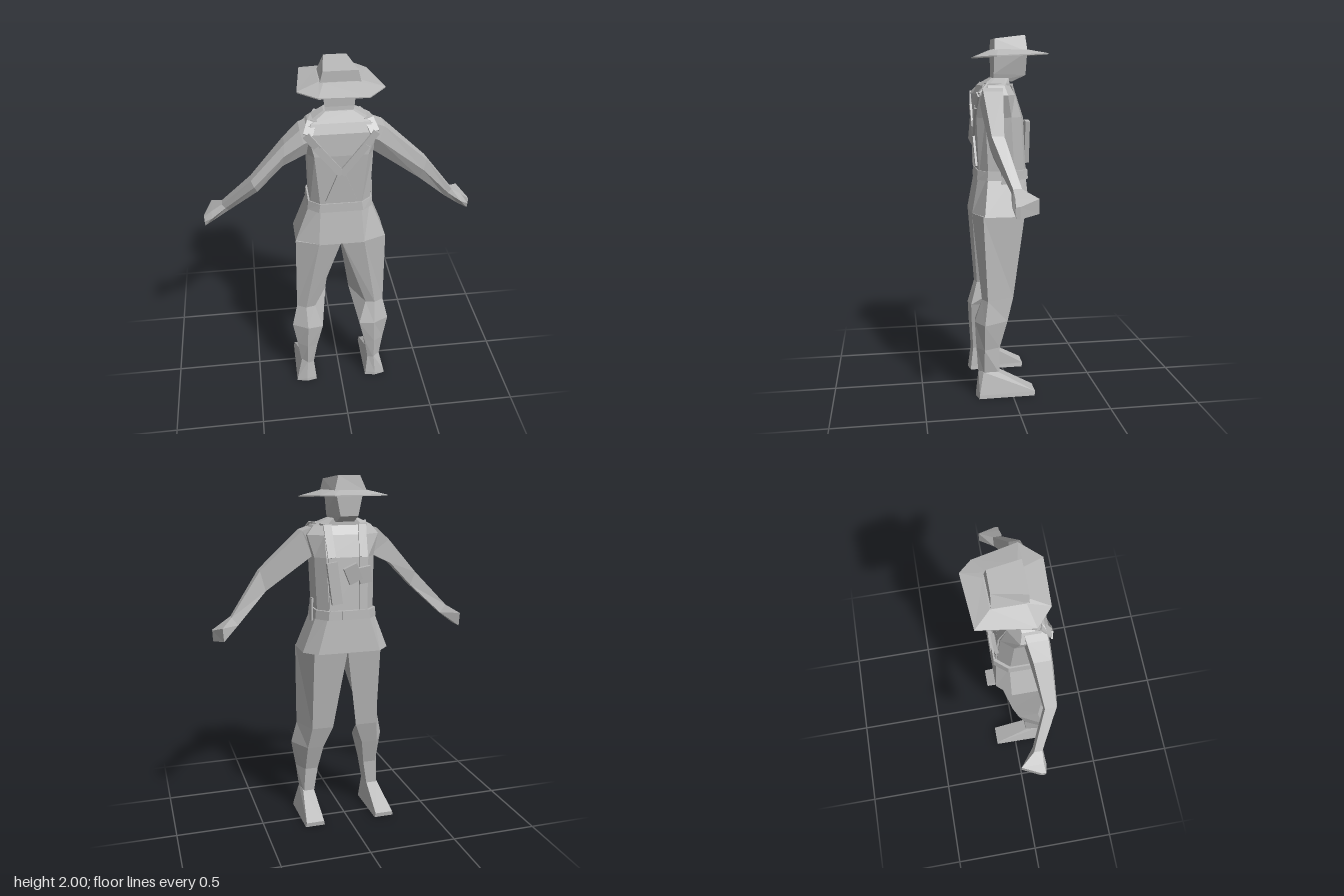
import * as THREE from 'three';

const grey = new THREE.MeshStandardMaterial({ color: 0xb8b8b8, flatShading: true });
grey.name = 'plain grey';

// Skin a list of equal-sized point rings, cap both ends and face it outwards
function loft(name, rings) {
  const tris = [];
  const n = rings[0].length;
  for (let r = 0; r < rings.length - 1; r++) {
    for (let i = 0; i < n; i++) {
      const j = (i + 1) % n;
      const a = rings[r][i], b = rings[r][j], c = rings[r + 1][j], d = rings[r + 1][i];
      tris.push([a, b, c], [a, c, d]);
    }
  }
  const end = rings[rings.length - 1];
  for (let i = 1; i < n - 1; i++) {
    tris.push([rings[0][0], rings[0][i + 1], rings[0][i]], [end[0], end[i], end[i + 1]]);
  }
  const v = (p) => new THREE.Vector3(...p);
  let volume = 0;
  for (const [a, b, c] of tris) volume += v(a).dot(v(b).cross(v(c)));
  if (volume < 0) tris.forEach((t) => t.reverse());
  const geo = new THREE.BufferGeometry();
  geo.setAttribute('position', new THREE.Float32BufferAttribute(tris.flat(2), 3));
  geo.computeVertexNormals();
  const mesh = new THREE.Mesh(geo, grey);
  mesh.name = name;
  return mesh;
}

// Eight-sided body ring: back half-width and z, side half-width, front half-width and z
function bodyRing([y, wb, zb, ws, wf, zf]) {
  const z1 = zb - (zb - zf) * 0.18, z2 = zf + (zb - zf) * 0.25;
  return [[-wb, y, zb], [wb, y, zb], [ws, y, z1], [ws, y, z2],
    [wf, y, zf], [-wf, y, zf], [-ws, y, z2], [-ws, y, z1]];
}

// Five-cornered arm ring: top point, bottom point, front z, back z
const armRing = (s) => ([xt, yt, xb, yb, zf, zb]) => {
  const t = zb - zf;
  return [[s * xt, yt, zf], [s * xt, yt, zb - t * 0.12],
    [s * (xt + xb) / 2, (yt + yb) / 2, zb], [s * xb, yb, zb - t * 0.3], [s * xb, yb, zf]];
};

// Five-cornered leg ring: back inner/outer x, front inner/outer x, back z, outer-back z, front z
const legRing = (s) => ([y, bi, bo, fi, fo, zb, zo, zf, yf = y]) =>
  [[s * bi, y, zb - 0.012], [s * (bi + bo) / 2, y, zb], [s * bo, y, zo],
    [s * fo, yf, zf], [s * fi, yf, zf]];

// Flat plate laid from a to b with its face along a given normal
function plate(name, a, b, width, normal, thick = 0.009) {
  const A = new THREE.Vector3(...a), B = new THREE.Vector3(...b);
  const y = B.clone().sub(A);
  const mesh = new THREE.Mesh(new THREE.BoxGeometry(width, y.length(), thick), grey);
  y.normalize();
  const x = y.clone().cross(new THREE.Vector3(...normal)).normalize();
  mesh.quaternion.setFromRotationMatrix(new THREE.Matrix4().makeBasis(x, y, x.clone().cross(y)));
  mesh.position.copy(A.add(B).multiplyScalar(0.5));
  mesh.name = name;
  return mesh;
}

export function createModel() {
  const model = new THREE.Group();
  model.name = 'hatted figure';

  // Trunk
  model.add(loft('hips', [
    [1.03, 0.125, 0.21, 0.25, 0.18, -0.105],
    [1.25, 0.11, 0.17, 0.165, 0.115, -0.09],
  ].map(bodyRing)));
  model.add(loft('torso', [
    [1.24, 0.11, 0.168, 0.163, 0.11, -0.085],
    [1.56, 0.14, 0.183, 0.172, 0.12, -0.065],
    [1.68, 0.17, 0.172, 0.205, 0.12, -0.03],
    [1.73, 0.15, 0.15, 0.165, 0.1, -0.005],
    [1.77, 0.07, 0.09, 0.08, 0.06, -0.005],
  ].map(bodyRing)));
  model.add(loft('belt', [
    [1.22, 0.12, 0.18, 0.178, 0.12, -0.104],
    [1.27, 0.112, 0.176, 0.173, 0.115, -0.102],
  ].map(bodyRing)));

  // Head: neck, jaw and face up to the hat
  model.add(loft('head', [
    [[-0.07, 1.75, 0.085], [0.07, 1.75, 0.085], [0.05, 1.75, -0.025], [-0.05, 1.75, -0.025]],
    [[-0.074, 1.79, 0.08], [0.08, 1.79, 0.08], [0.05, 1.785, -0.1], [-0.05, 1.785, -0.1]],
    [[-0.09, 1.91, 0.08], [0.09, 1.91, 0.08], [0.075, 1.91, -0.105], [-0.075, 1.91, -0.105]],
  ]));

  // Hat: drooping brim as a shallow shell, then the crown
  const rim = [[-0.18, -0.19], [0.115, -0.215], [0.175, -0.15], [0.235, 0.085],
    [0.14, 0.19], [-0.115, 0.18], [-0.215, 0.095]];
  const inner = [[-0.1, -0.105], [0.06, -0.11], [0.085, -0.09], [0.105, 0.06],
    [0.085, 0.085], [-0.08, 0.085], [-0.1, 0.065]];
  const rimY = (z) => 1.888 - z * 0.05;
  model.add(loft('hat brim', [
    inner.map(([x, z]) => [x, 1.912, z]),
    rim.map(([x, z]) => [x, rimY(z) - 0.003, z]),
    rim.map(([x, z]) => [x, rimY(z) + 0.003, z]),
    inner.map(([x, z]) => [x, 1.922, z]),
  ]));
  model.add(loft('hat crown', [
    [[-0.1, 1.91, -0.1], [0.085, 1.91, -0.105], [0.115, 1.91, 0.08], [-0.1, 1.91, 0.08]],
    [[-0.06, 2, -0.095], [0.06, 2, -0.095], [0.098, 1.978, 0.078], [-0.082, 1.978, 0.078]],
  ]));

  // Arms: shoulder, upper arm, elbow, wrist, fist; the elbows sit differently
  const wristAndHand = [
    [0.635, 1.245, 0.6, 1.2, 0.02, 0.07],
    [0.695, 1.205, 0.69, 1.13, -0.055, 0.078],
    [0.737, 1.175, 0.735, 1.115, 0.045, 0.07],
  ];
  const arms = {
    1: [[0.14, 1.73, 0.15, 1.57, 0.04, 0.165], [0.225, 1.7, 0.17, 1.56, 0.05, 0.17],
      [0.46, 1.485, 0.43, 1.37, 0.08, 0.152], ...wristAndHand],
    '-1': [[0.14, 1.73, 0.15, 1.57, 0.04, 0.165], [0.21, 1.705, 0.175, 1.56, 0.05, 0.17],
      [0.29, 1.635, 0.3, 1.5, 0.07, 0.17], [0.47, 1.435, 0.44, 1.36, 0.1, 0.168], ...wristAndHand],
  };

  for (const s of [1, -1]) {
    const side = s > 0 ? 'left' : 'right';
    model.add(loft(side + ' arm', arms[s].map(armRing(s))));

    // Leg with bent knee, then a wedge-shaped shoe
    model.add(loft(side + ' leg', [
      [1.035, 0, 0.25, 0, 0.195, 0.21, 0.162, -0.075],
      [0.56, 0.15, 0.255, 0.07, 0.195, 0.167, 0.14, -0.01],
      [0.43, 0.11, 0.285, 0.12, 0.215, 0.207, 0.16, 0.025],
      [0.28, 0.145, 0.26, 0.145, 0.22, 0.2, 0.16, 0.07],
      [0.13, 0.168, 0.24, 0.168, 0.23, 0.19, 0.16, 0.075],
    ].map(legRing(s))));
    model.add(loft(side + ' shoe', [
      [0.145, 0.168, 0.24, 0.168, 0.235, 0.19, 0.165, 0.08, 0.14],
      [0.02, 0.155, 0.27, 0.16, 0.265, 0.206, 0.19, -0.125, 0.025],
      [0, 0.152, 0.273, 0.155, 0.27, 0.207, 0.192, -0.122],
    ].map(legRing(s))));

    // Harness: crossed back straps, shoulder loops, front straps
    model.add(plate(side + ' back strap upper', [s * 0.18, 1.685, 0.18], [s * 0.12, 1.61, 0.187], 0.04, [s * 0.25, 0, 1]));
    model.add(plate(side + ' back strap middle', [s * 0.13, 1.62, 0.187], [0, 1.455, 0.186], 0.04, [0, 0, 1], 0.012));
    model.add(plate(side + ' back strap lower', [0, 1.455, 0.186], [s * -0.065, 1.285, 0.178], 0.04, [0, 0, 1], 0.012));
    model.add(plate(side + ' shoulder strap', [s * 0.17, 1.685, 0.178], [s * 0.145, 1.738, 0.13], 0.05, [0, 0.7, 0.7]));
    model.add(plate(side + ' shoulder strap top', [s * 0.145, 1.738, 0.13], [s * 0.1, 1.735, -0.01], 0.05, [0, 1, 0]));
    model.add(plate(side + ' front strap upper', [s * 0.1, 1.735, -0.012], [s * 0.09, 1.56, -0.071], 0.045, [0, 0.3, -1]));
    model.add(plate(side + ' front strap lower', [s * 0.09, 1.56, -0.071], [s * 0.085, 1.27, -0.088], 0.045, [0, 0, -1]));
  }

  // Chest gear and belt fittings
  model.add(plate('chest pouch', [0.07, 1.31, -0.1], [0.1, 1.54, -0.1], 0.06, [0, 0, -1], 0.025));
  model.add(plate('chest box', [-0.04, 1.43, -0.095], [0, 1.52, -0.11], 0.08, [0, 0, -1], 0.02));
  model.add(plate('side chest box', [-0.1, 1.42, -0.085], [-0.085, 1.51, -0.095], 0.07, [0, 0, -1], 0.02));
  model.add(plate('belt buckle', [0, 1.22, -0.106], [0, 1.27, -0.104], 0.08, [0, 0, -1]));
  model.add(plate('hip sheath', [0.185, 1.2, 0.03], [0.18, 1.33, 0.035], 0.045, [1, 0, 0]));
  return model;
}
